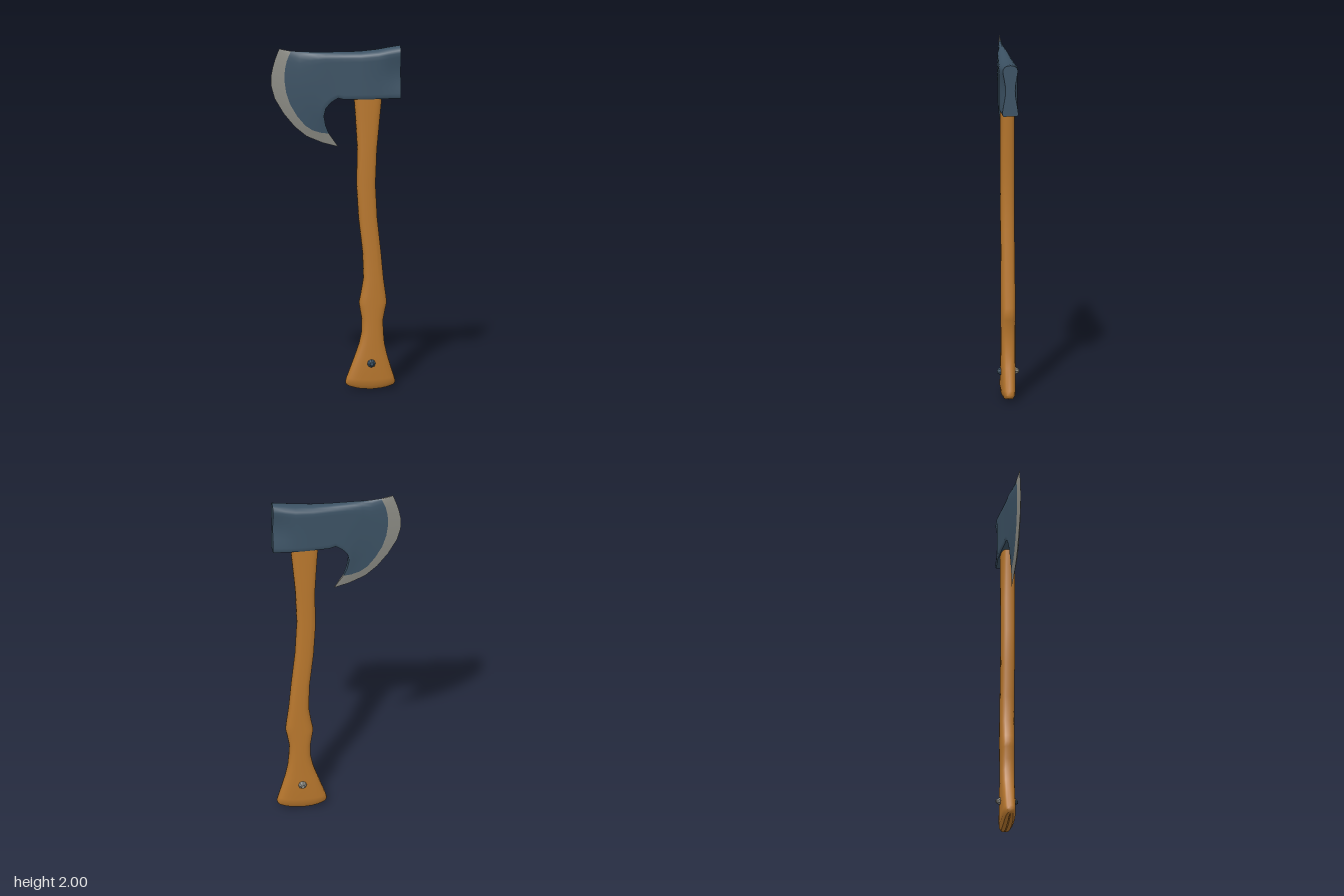
import * as THREE from 'three';
import { toCreasedNormals } from 'three/addons/utils/BufferGeometryUtils.js';

const wood = new THREE.MeshStandardMaterial({ color: 0xb8772d });
wood.name = 'wood';
const steel = new THREE.MeshStandardMaterial({ color: 0x3c5264 });
steel.name = 'dark steel';
const edgeSteel = new THREE.MeshStandardMaterial({ color: 0x8b8b84 });
edgeSteel.name = 'ground steel';

// Skin a list of closed rings, with optional fan caps
function loft(rings, capStart, capEnd, crease) {
  const n = rings[0].length, pos = [], idx = [];
  rings.forEach(r => r.forEach(p => pos.push(p.x, p.y, p.z)));
  for (let i = 0; i < rings.length - 1; i++) {
    for (let j = 0; j < n; j++) {
      const a = i * n + j, b = i * n + (j + 1) % n;
      idx.push(a, b, b + n, a, b + n, a + n);
    }
  }
  const cap = (i, flip) => {
    const c = new THREE.Vector3();
    rings[i].forEach(p => c.addScaledVector(p, 1 / n));
    const k = pos.length / 3;
    pos.push(c.x, c.y, c.z);
    for (let j = 0; j < n; j++) {
      const a = i * n + j, b = i * n + (j + 1) % n;
      flip ? idx.push(k, b, a) : idx.push(k, a, b);
    }
  };
  if (capStart) cap(0, true);
  if (capEnd) cap(rings.length - 1, false);
  const g = new THREE.BufferGeometry();
  g.setAttribute('position', new THREE.Float32BufferAttribute(pos, 3));
  g.setIndex(idx);
  return toCreasedNormals(g, crease);
}

// Handle: y, left x, right x, half depth, sag of the butt
function handleGeometry() {
  const rows = [
    [0.03, 0.068, 0.332, 0.003, 0.025], [0.033, 0.062, 0.337, 0.025, 0.025],
    [0.05, 0.055, 0.343, 0.038, 0.02], [0.075, 0.062, 0.335, 0.041, 0.01],
    [0.2, 0.11, 0.296, 0.041, 0], [0.27, 0.135, 0.28, 0.041, 0],
    [0.34, 0.15, 0.273, 0.041, 0], [0.41, 0.15, 0.272, 0.041, 0],
    [0.48, 0.138, 0.286, 0.041, 0], [0.51, 0.134, 0.293, 0.041, 0],
    [0.55, 0.143, 0.288, 0.041, 0], [0.65, 0.16, 0.274, 0.041, 0],
    [0.8, 0.155, 0.26, 0.04, 0], [1.0, 0.132, 0.238, 0.04, 0],
    [1.2, 0.12, 0.228, 0.04, 0], [1.4, 0.125, 0.236, 0.04, 0],
    [1.6, 0.113, 0.255, 0.04, 0], [1.75, 0.102, 0.27, 0.04, 0]
  ];
  const soft = v => Math.sign(v) * Math.pow(Math.abs(v), 0.65);
  const rings = rows.map(([y, l, r, d, sag]) => Array.from({ length: 24 }, (_, j) => {
    const a = j / 24 * Math.PI * 2, u = soft(Math.cos(a));
    return new THREE.Vector3((l + r) / 2 + u * (r - l) / 2, y - sag * (1 - u * u), -soft(Math.sin(a)) * d);
  }));
  return loft(rings, true, true, 0.8);
}

// Head: each row runs from the spine (v = 0) to the underside (v = 1)
const V2 = (x, y) => new THREE.Vector2(x, y);
const bow = (a, b, c) => new THREE.QuadraticBezierCurve(V2(...a), V2(...b), V2(...c));
const straight = (x, top, bottom) => new THREE.LineCurve(V2(x, top), V2(x, bottom));
const spline = pts => new THREE.SplineCurve(pts.map(p => V2(...p)));
const LEVELS = [0, 0.01, 0.03, 0.07, 0.12, 0.2, 0.3, 0.4, 0.5, 0.6, 0.7, 0.8, 0.9, 0.96, 1];

function headRing(curve, half, pinch = 0) {
  const pts = LEVELS.map(v => {
    const p = curve.getPoint(v);
    const round = v < 0.12 ? Math.sqrt(1 - (1 - v / 0.12) ** 2) : 1;
    const under = v > 0.99 ? 0.88 : 1;
    return new THREE.Vector3(p.x, p.y, half * round * under * (1 - pinch * Math.sin(Math.PI * v) ** 2));
  });
  const back = pts.slice(1).map(p => new THREE.Vector3(p.x, p.y, -p.z));
  return [...pts.reverse(), ...back];
}

function headRings() {
  const grindLine = spline([[-0.258, 1.985], [-0.29, 1.9], [-0.293, 1.79], [-0.262, 1.675],
    [-0.19, 1.565], [-0.12, 1.515], [-0.04, 1.5]]);
  const cuttingEdge = spline([[-0.325, 2], [-0.357, 1.91], [-0.372, 1.82], [-0.35, 1.71],
    [-0.255, 1.565], [-0.14, 1.47], [0.015, 1.42]]);
  const body = [
    headRing(straight(0.37, 2, 1.7), 0.046, 0.4),
    headRing(straight(0.3, 1.99, 1.7), 0.05, 0.2),
    headRing(straight(0.24, 1.98, 1.7), 0.054),
    headRing(straight(0.14, 1.972, 1.7), 0.049),
    headRing(straight(0.045, 1.972, 1.7), 0.041),
    headRing(bow([0.0, 1.973], [0.0, 1.83], [0.01, 1.71]), 0.038),
    headRing(bow([-0.06, 1.974], [-0.06, 1.83], [-0.03, 1.685]), 0.035),
    headRing(bow([-0.1, 1.975], [-0.12, 1.81], [-0.06, 1.65]), 0.032),
    headRing(bow([-0.14, 1.977], [-0.18, 1.78], [-0.07, 1.605]), 0.027),
    headRing(bow([-0.2, 1.98], [-0.27, 1.7], [-0.06, 1.55]), 0.019),
    headRing(grindLine, 0.011)
  ];
  return { body, bevel: [body[body.length - 1], headRing(cuttingEdge, 0)] };
}

export function createModel() {
  const group = new THREE.Group();
  const add = (name, geometry, material) => {
    const mesh = new THREE.Mesh(geometry, material);
    mesh.name = name;
    group.add(mesh);
    return mesh;
  };

  add('handle', handleGeometry(), wood);

  const { body, bevel } = headRings();
  add('axeHead', loft(body, true, false, 0.7), steel);
  add('cuttingEdge', loft(bevel, false, false, 0.7), edgeSteel);

  // Rivet through the grip, one tapered cap per side
  [[1, 'frontRivet', steel, 0.022], [-1, 'backRivet', edgeSteel, 0.026]].forEach(([side, name, material, h]) => {
    const g = new THREE.CylinderGeometry(0.01, 0.025, h, 8);
    g.rotateX(side * Math.PI / 2);
    add(name, toCreasedNormals(g, 0.6), material).position.set(0.2, 0.16, side * (0.039 + h / 2));
  });

  return group;
}
